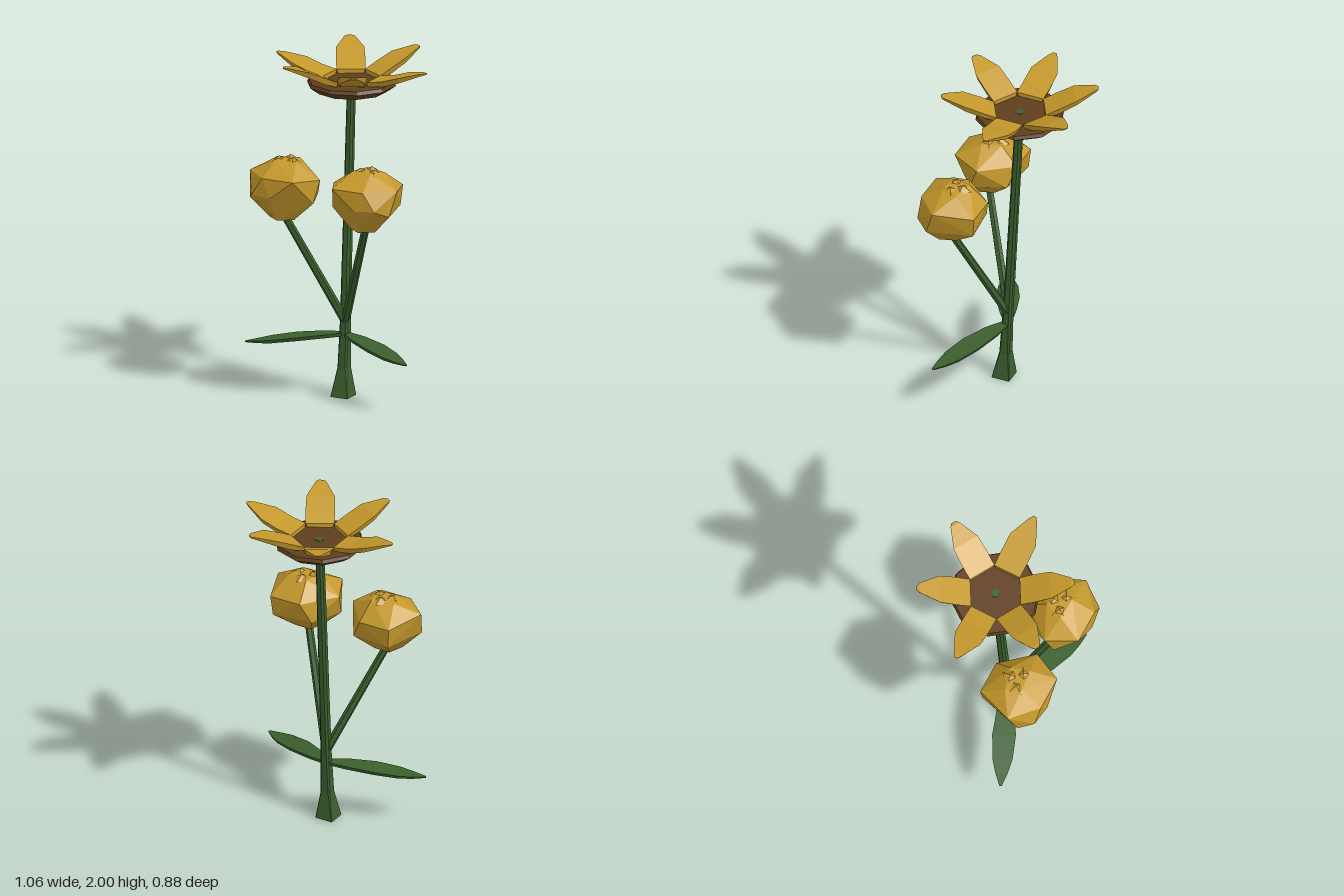
import * as THREE from 'three';
import { ConvexGeometry } from 'three/addons/geometries/ConvexGeometry.js';

const V = (x, y, z) => new THREE.Vector3(x, y, z);
const paint = (color) => new THREE.MeshStandardMaterial({ color, flatShading: true });

// Solid through a series of rings, closed at both ends
function loft(rings) {
  const pos = [];
  const tri = (...pts) => pts.forEach((p) => pos.push(p.x, p.y, p.z));
  const n = rings[0].length;
  for (let i = 0; i < rings.length - 1; i++) {
    for (let j = 0; j < n; j++) {
      const k = (j + 1) % n;
      tri(rings[i][j], rings[i][k], rings[i + 1][k]);
      tri(rings[i][j], rings[i + 1][k], rings[i + 1][j]);
    }
  }
  const last = rings[rings.length - 1];
  for (let j = 1; j < n - 1; j++) {
    tri(rings[0][0], rings[0][j + 1], rings[0][j]);
    tri(last[0], last[j], last[j + 1]);
  }
  const g = new THREE.BufferGeometry();
  g.setAttribute('position', new THREE.Float32BufferAttribute(pos, 3));
  g.computeVertexNormals();
  return g;
}

// Blade along +x; stations are [distance, top height, half width, thickness]
const blade = (stations) => loft(stations.map(([x, y, w, t]) => [
  V(x, y - t, -w * 0.85), V(x, y, -w), V(x, y, w), V(x, y - t, w * 0.85),
]));

// Square section with cut corners, in the ground plane
function stemRing(y, z, half, cut) {
  const ring = [];
  for (let k = 0; k < 4; k++) {
    for (const [a, b] of [[half, half - cut], [half - cut, half]]) {
      const c = Math.round(Math.cos(k * Math.PI / 2)), s = Math.round(Math.sin(k * Math.PI / 2));
      ring.push(V(a * c - b * s, y, z - (a * s + b * c)));
    }
  }
  return ring;
}

function rod(a, b, r0, r1, sides) {
  const g = new THREE.CylinderGeometry(r1, r0, a.distanceTo(b), sides);
  const q = new THREE.Quaternion().setFromUnitVectors(V(0, 1, 0), b.clone().sub(a).normalize());
  return g.applyQuaternion(q).translate((a.x + b.x) / 2, (a.y + b.y) / 2, (a.z + b.z) / 2);
}

export function createModel() {
  const model = new THREE.Group();
  const green = paint(0x3b5f2e), brown = paint(0x5f3e1c), yellow = paint(0xc4982b);
  const add = (name, geometry, material, parent = model) => {
    const mesh = new THREE.Mesh(geometry, material);
    mesh.name = name;
    parent.add(mesh);
    return mesh;
  };

  // Leaning main stem with a flared square foot
  add('stem', loft([
    stemRing(0, 0.054, 0.055, 0.002),
    stemRing(0.17, 0.043, 0.031, 0.008),
    stemRing(0.45, 0.029, 0.027, 0.012),
    stemRing(1.862, -0.045, 0.023, 0.012),
  ]), green);

  // Ten-sided seed disc
  const disc = add('seedDisc', new THREE.LatheGeometry([
    [0, 1.8], [0.205, 1.8], [0.26, 1.84], [0.25, 1.86], [0, 1.86],
  ].map(([r, y]) => new THREE.Vector2(r, y)), 10), brown);
  disc.position.z = -0.045;

  // Six petals; the two side ones lie flatter
  const petals = new THREE.Group();
  petals.name = 'petals';
  petals.position.z = -0.045;
  model.add(petals);
  const flat = blade([
    [0.142, 1.885, 0.083, 0.03], [0.24, 1.903, 0.085, 0.034], [0.34, 1.935, 0.083, 0.032],
    [0.455, 1.963, 0.03, 0.015], [0.487, 1.966, 0.01, 0.006],
  ]);
  const raised = blade([
    [0.142, 1.885, 0.083, 0.03], [0.22, 1.922, 0.085, 0.04], [0.32, 1.968, 0.081, 0.036],
    [0.435, 2, 0.03, 0.015], [0.453, 2, 0.014, 0.008],
  ]);
  for (let k = 0; k < 6; k++) {
    add('petal', k % 3 ? raised : flat, yellow, petals).rotation.y = k * Math.PI / 3;
  }

  // Pair of drooping leaves swept toward the front
  const leaf = blade([
    [0, 0.375, 0.018, 0.02], [0.12, 0.368, 0.05, 0.022], [0.28, 0.352, 0.068, 0.022],
    [0.42, 0.332, 0.058, 0.02], [0.5, 0.319, 0.036, 0.014], [0.575, 0.309, 0.007, 0.006],
  ]);
  for (const angle of [-0.417, Math.PI + 0.417]) {
    const mesh = add('leaf', leaf, green);
    mesh.position.z = 0.033;
    mesh.rotation.y = angle;
  }

  // Two mirrored side branches, each with a closed faceted bud
  const budShell = [
    [0.275, 1.235, 0.437], [0.455, 1.2, 0.34], [0.063, 1.2, 0.3], [0.14, 1.2, 0.1], [0.385, 1.2, 0.075],
    [0.4, 1.24, 0.42], [0.48, 1.345, 0.29], [0.33, 1.345, 0.425], [0.13, 1.345, 0.425],
    [0.045, 1.33, 0.25], [0.2, 1.32, 0.066], [0.397, 1.32, 0.066],
    [0.185, 1.425, 0.28], [0.31, 1.43, 0.29], [0.35, 1.42, 0.2], [0.22, 1.425, 0.17],
  ];
  for (const side of [1, -1]) {
    add('branch', rod(V(0, 0.44, 0.03), V(side * 0.275, 1.12, 0.28), 0.026, 0.022, 6), green);
    const bud = new THREE.Group();
    bud.name = 'bud';
    model.add(bud);
    const points = budShell.map(([x, y, z]) => V(side * x, y, z));
    for (let k = 0; k < 5; k++) {
      const a = k * Math.PI * 0.4;
      points.push(V(side * (0.265 + 0.085 * Math.sin(a)), 1.088, 0.28 + 0.085 * Math.cos(a)));
    }
    add('budShell', new ConvexGeometry(points), yellow, bud);
    // Small folded petal ends meeting at the crown
    for (let k = 0; k < 3; k++) {
      const a = 0.5 + k * Math.PI * 2 / 3;
      const fold = add('budFold', new THREE.ConeGeometry(0.055, 0.03, 4), yellow, bud);
      fold.position.set(side * (0.265 + 0.05 * Math.cos(a)), 1.428, 0.235 + 0.04 * Math.sin(a));
      fold.rotation.y = side * a;
    }
  }
  return model;
}
